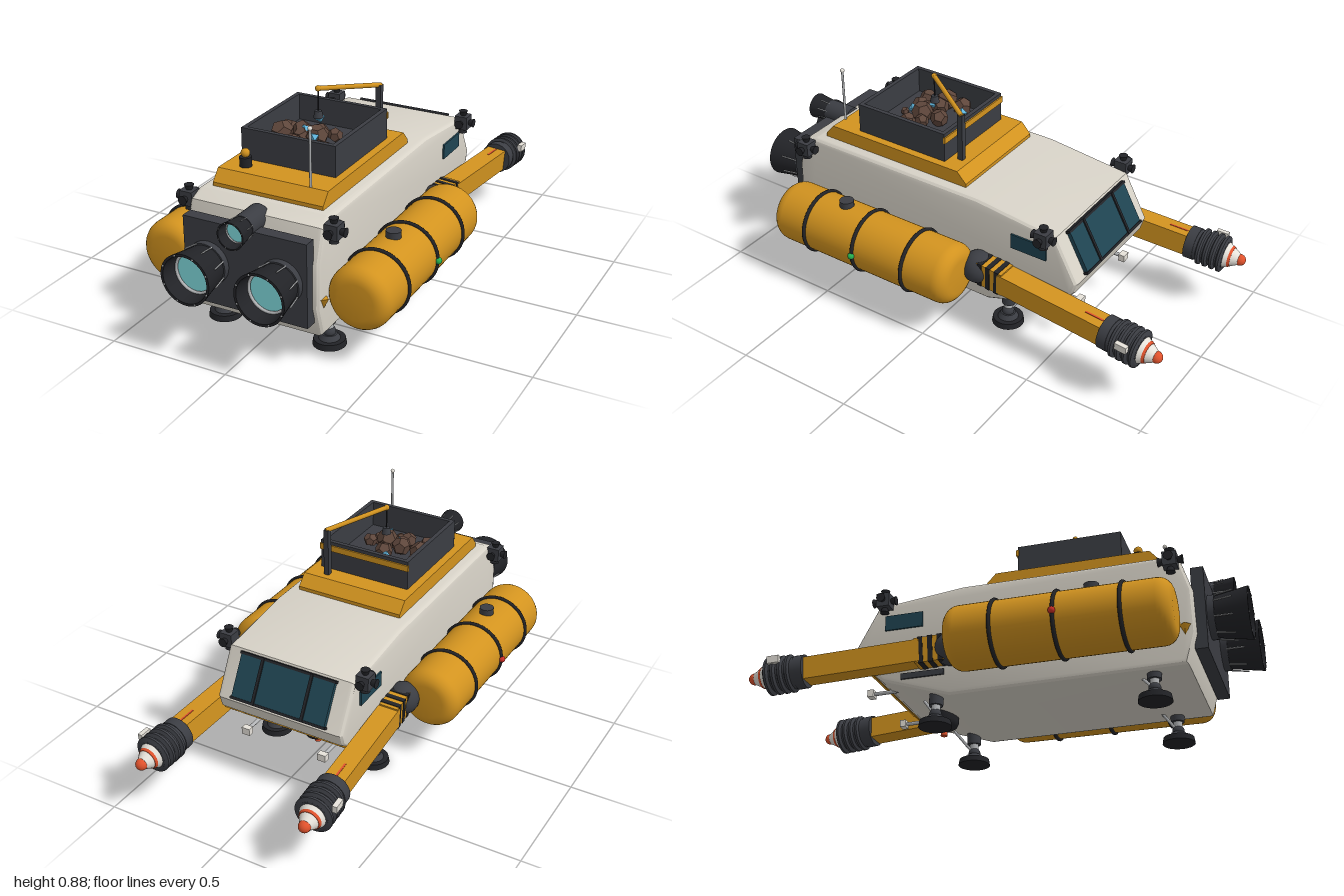
import * as THREE from 'three';
import { toCreasedNormals } from 'three/addons/utils/BufferGeometryUtils.js';

const mat = (color, opts = {}) => new THREE.MeshStandardMaterial({ color, ...opts });
const M = {
  hull: mat(0xd8d3c8), orange: mat(0xd2931f), dark: mat(0x3b3d43), black: mat(0x222327),
  teal: mat(0x1f4452), cyan: mat(0x80dadd), metal: mat(0xb4b6b8), white: mat(0xe6e2da),
  red: mat(0xe0522c), green: mat(0x25b050), lampRed: mat(0xd03028),
  rock: mat(0x5e463b, { flatShading: true }), crystal: mat(0x5fb4dc, { flatShading: true }),
};
const UP = new THREE.Vector3(0, 1, 0);
const v = (p) => new THREE.Vector3(...p);

function add(parent, name, geo, material, pos = [0, 0, 0], rot = [0, 0, 0]) {
  const m = new THREE.Mesh(geo, material);
  m.name = name;
  m.position.set(...pos);
  m.rotation.set(...rot);
  parent.add(m);
  return m;
}
const box = (x, y, z) => new THREE.BoxGeometry(x, y, z);
const cyl = (rTop, rBottom, h, n = 24) => new THREE.CylinderGeometry(rTop, rBottom, h, n);
const ball = (r) => new THREE.SphereGeometry(r, 20, 14);
const lathe = (pts, n = 40) =>
  toCreasedNormals(new THREE.LatheGeometry(pts.map(([r, y]) => new THREE.Vector2(r, y)), n), 0.6);

// Cylinder between two points
function rod(parent, name, a, b, r, material, n = 10) {
  const A = v(a), B = v(b), d = B.clone().sub(A);
  const m = add(parent, name, cyl(r, r, d.length(), n), material, A.clone().add(B).multiplyScalar(0.5).toArray());
  m.quaternion.setFromUnitVectors(UP, d.normalize());
}

// Side profile of [z, y] points extruded across x, with rounded edges
function sideExtrude(pts, width, bevel) {
  const shape = new THREE.Shape(pts.map(([z, y]) => new THREE.Vector2(z, y)));
  const geo = new THREE.ExtrudeGeometry(shape, {
    depth: width - 2 * bevel, bevelEnabled: bevel > 0, bevelSize: bevel, bevelThickness: bevel,
    bevelOffset: -bevel, bevelSegments: 3,
  });
  geo.rotateY(-Math.PI / 2).translate(width / 2 - bevel, 0, 0);
  return toCreasedNormals(geo, 0.45);
}

function engine(parent, x, y, z0, z1, r) {
  const g = new THREE.Group();
  g.name = 'engine';
  g.position.set(x, y, z0);
  parent.add(g);
  const L = z1 - z0, flat = [Math.PI / 2, 0, 0];
  add(g, 'engineCollar', cyl(r * 0.84, r * 0.84, L * 0.22, 32), M.dark, [0, 0, L * 0.1], flat);
  add(g, 'engineBell', lathe([[r * 0.74, 0], [r * 0.78, L * 0.2], [r, L], [r * 0.9, L], [r * 0.78, L * 0.5]]),
    M.black, [0, 0, 0], flat);
  add(g, 'engineGlow', new THREE.CircleGeometry(r * 0.78, 40), M.cyan, [0, 0, L * 0.55]);
  add(g, 'engineRing', new THREE.TorusGeometry(r * 0.78, r * 0.06, 8, 40), M.metal, [0, 0, L * 0.6]);
  for (let i = 0; i < 8; i++) {
    const a = (i + 0.5) * Math.PI / 4, c = Math.cos(a), s = Math.sin(a);
    rod(g, 'engineRod', [c * r * 0.83, s * r * 0.83, L * 0.2], [c * r * 0.94, s * r * 0.94, L * 0.62], r * 0.03, M.metal, 6);
    add(g, 'engineBolt', ball(r * 0.035), M.metal, [c * r * 0.95, s * r * 0.95, L]);
  }
}

function tank(parent, s) {
  const g = new THREE.Group();
  g.name = 'sideTank';
  g.position.set(s * 0.405, 0.28, 0);
  parent.add(g);
  const profile = [[0, -0.125]], R = 0.128, c = 0.055;
  for (let i = 0; i <= 6; i++) {
    const a = i * Math.PI / 12;
    profile.push([R - c + c * Math.sin(a), -0.125 + c - c * Math.cos(a)]);
  }
  for (let i = 0; i <= 6; i++) {
    const a = i * Math.PI / 12;
    profile.push([R - c + c * Math.cos(a), 0.755 - c + c * Math.sin(a)]);
  }
  profile.push([0, 0.755]);
  add(g, 'tankBody', lathe(profile, 48), M.orange, [0, 0, 0], [Math.PI / 2, 0, 0]);
  for (const z of [0.075, 0.32, 0.572]) add(g, 'tankBand', new THREE.TorusGeometry(0.13, 0.008, 8, 48), M.black, [0, 0, z]);
  add(g, 'tankCap', cyl(0.03, 0.03, 0.035), M.dark, [0, 0.135, 0.44]);
  add(g, 'tankLamp', ball(0.014), s > 0 ? M.green : M.lampRed, [s * 0.134, 0, 0.32]);
  add(g, 'tankBracket', box(0.08, 0.06, 0.1), M.dark, [-s * 0.13, 0, 0.5]);
  add(g, 'tankBracket', box(0.08, 0.06, 0.1), M.dark, [-s * 0.13, 0, 0.12]);
  add(g, 'tankGusset', new THREE.ConeGeometry(0.025, 0.05, 4), M.orange, [-s * 0.125, -0.03, 0.765], [Math.PI, 0, 0]);
}

// Rear arm, built along its own +y from the shoulder to the tip
function arm(parent, s) {
  const a = v([s * 0.315, 0.287, -0.15]), b = v([s * 0.362, 0.243, -0.998]);
  const g = new THREE.Group();
  g.name = 'rearArm';
  g.position.copy(a);
  g.quaternion.setFromUnitVectors(UP, b.clone().sub(a).normalize());
  parent.add(g);
  add(g, 'armShoulder', ball(0.068), M.dark);
  add(g, 'armSleeve', box(0.078, 0.13, 0.105), M.orange, [0, 0.075, 0]);
  for (const y of [0.035, 0.075, 0.115]) add(g, 'armStripe', box(0.082, 0.02, 0.11), M.black, [0, y, 0]);
  add(g, 'armBeam', box(0.084, 0.5, 0.092), M.orange, [0, 0.37, 0]);
  add(g, 'armMark', box(0.008, 0.08, 0.004), M.red, [0, 0.55, 0.046]);
  add(g, 'headBody', cyl(0.062, 0.066, 0.165, 32), M.dark, [0, 0.685, 0]);
  for (let i = 0; i < 4; i++) add(g, 'headRib', lathe([[0.06, -0.013], [0.077, -0.005], [0.077, 0.005], [0.06, 0.013]], 32), M.dark, [0, 0.665 + i * 0.03, 0]);
  add(g, 'headBase', cyl(0.068, 0.068, 0.04, 32), M.dark, [0, 0.622, 0]);
  add(g, 'headCone', cyl(0.024, 0.054, 0.055, 32), M.white, [0, 0.795, 0]);
  add(g, 'headStripe', cyl(0.041, 0.046, 0.01, 32), M.red, [0, 0.79, 0]);
  add(g, 'headTip', ball(0.024), M.red, [0, 0.826, 0]);
  add(g, 'headSensor', box(0.02, 0.05, 0.03), M.white, [s * 0.073, 0.715, 0.04]);
}

function leg(parent, s, z) {
  const g = new THREE.Group();
  g.name = 'landingLeg';
  g.position.set(s * 0.233, 0, z);
  parent.add(g);
  add(g, 'foot', cyl(0.062, 0.066, 0.024, 32), M.black, [0, 0.012, 0]);
  add(g, 'footPlate', cyl(0.03, 0.042, 0.02), M.dark, [0, 0.034, 0]);
  add(g, 'ankle', ball(0.025), M.dark, [0, 0.052, 0]);
  rod(g, 'legPiston', [0, 0.05, 0], [-s * 0.004, 0.11, 0], 0.018, M.metal, 16);
  rod(g, 'legSocket', [-s * 0.004, 0.09, 0], [-s * 0.006, 0.16, 0], 0.028, M.dark, 20);
  rod(g, 'legBrace', [0, 0.05, 0], [-s * 0.06, 0.14, -0.07], 0.006, M.metal);
}

function thruster(parent, s, z) {
  const g = new THREE.Group();
  g.name = 'thrusterBlock';
  g.position.set(s * 0.307, 0.538, z);
  parent.add(g);
  add(g, 'thrusterBody', box(0.055, 0.058, 0.055), M.dark);
  for (const d of [[s, 0, 0], [0, 1, 0], [0, -1, 0], [0, 0, 1], [0, 0, -1]]) {
    const m = add(g, 'thrusterNozzle', cyl(0.019, 0.01, 0.024, 16), M.black, d.map((k) => k * 0.037));
    m.quaternion.setFromUnitVectors(UP, v(d));
  }
}

export function createModel() {
  const root = new THREE.Group();
  root.name = 'utilityShip';

  // Hull and windows
  add(root, 'hull', sideExtrude([[0.77, 0.115], [0.805, 0.24], [0.8, 0.42], [0.76, 0.55], [0.7, 0.575], [-0.12, 0.575],
    [-0.48, 0.535], [-0.58, 0.35], [-0.565, 0.3], [-0.45, 0.2], [-0.17, 0.108]], 0.568, 0.022), M.hull);
  add(root, 'noseStripe', box(0.55, 0.012, 0.075), M.orange, [0, 0.258, -0.513], [0.72, 0, 0]);
  add(root, 'rearWindow', box(0.42, 0.18, 0.02), M.teal, [0, 0.447, -0.536], [0.507, 0, 0]);
  for (const x of [-0.11, 0.11]) add(root, 'windowBar', box(0.012, 0.184, 0.03), M.black, [x, 0.447, -0.537], [0.507, 0, 0]);
  for (const y of [-1, 1]) add(root, 'windowFrame', box(0.43, 0.01, 0.026), M.black, [0, 0.447 + y * 0.079, -0.536 + y * 0.044], [0.507, 0, 0]);

  // Engines on the front plate
  add(root, 'enginePlate', box(0.52, 0.34, 0.05), M.dark, [0, 0.35, 0.818]);
  for (const s of [-1, 1]) engine(root, s * 0.155, 0.35, 0.835, 1.0, 0.104);
  add(root, 'engineMount', cyl(0.047, 0.047, 0.12), M.dark, [0, 0.53, 0.79], [Math.PI / 2, 0, 0]);
  engine(root, 0, 0.53, 0.82, 0.93, 0.055);

  // Deck and cargo bin
  add(root, 'deck', sideExtrude([[0.674, 0.57], [0.674, 0.59], [0.635, 0.635], [0.005, 0.635], [-0.037, 0.59], [-0.037, 0.57]], 0.47, 0), M.orange);
  const bin = new THREE.Group();
  bin.name = 'cargoBin';
  bin.position.set(0, 0.697, 0.303);
  root.add(bin);
  add(bin, 'binFloor', box(0.4, 0.02, 0.42), M.dark, [0, -0.055, 0]);
  for (const s of [-1, 1]) {
    add(bin, 'binSide', box(0.018, 0.126, 0.43), M.dark, [s * 0.193, 0, 0]);
    add(bin, 'binEnd', box(0.4, 0.126, 0.018), M.dark, [0, 0, s * 0.206]);
  }
  add(bin, 'binStripe', box(0.41, 0.026, 0.01), M.orange, [0, 0.035, -0.216]);
  const rocks = [[-0.15, 0.25, 0.042], [-0.14, 0.32, 0.048], [-0.06, 0.3, 0.04], [-0.13, 0.41, 0.04], [-0.05, 0.39, 0.036],
    [0.02, 0.33, 0.046], [0.07, 0.37, 0.036], [0, 0.26, 0.038], [0.08, 0.29, 0.03], [0.01, 0.43, 0.018], [-0.04, 0.34, 0.04]];
  rocks.forEach(([x, z, r], i) => add(bin, 'rock', new THREE.DodecahedronGeometry(r), M.rock, [x, -0.03 + (i % 3) * 0.016, z - 0.303], [i, i * 2, i * 0.7]));
  for (const [x, z] of [[-0.05, 0.18], [-0.04, 0.315], [0.03, 0.37]]) add(bin, 'crystal', new THREE.OctahedronGeometry(0.022), M.crystal, [x, 0.012, z - 0.303], [0.4, x * 20, 0.3]);

  // Crane
  add(root, 'cranePost', box(0.022, 0.205, 0.024), M.dark, [0.146, 0.735, 0.045]);
  rod(root, 'craneArm', [0.15, 0.835, 0.04], [0, 0.873, 0.28], 0.01, M.orange, 12);
  add(root, 'craneTip', ball(0.012), M.orange, [0, 0.873, 0.28]);
  rod(root, 'craneCable', [0, 0.873, 0.28], [0, 0.77, 0.28], 0.003, M.black, 6);
  add(root, 'craneGrab', cyl(0.014, 0.02, 0.028, 12), M.dark, [0, 0.768, 0.28]);

  // Beacon and antenna
  add(root, 'beaconBase', cyl(0.024, 0.024, 0.04), M.black, [-0.15, 0.653, 0.575]);
  add(root, 'beacon', ball(0.018), M.orange, [-0.15, 0.688, 0.575]);
  rod(root, 'antenna', [0.16, 0.63, 0.63], [0.16, 0.86, 0.63], 0.005, M.metal);
  add(root, 'antennaTip', ball(0.009), M.white, [0.16, 0.864, 0.63]);

  // Belly sensor
  add(root, 'bellyDome', lathe([[0, -0.035], [0.03, -0.032], [0.052, -0.018], [0.06, 0], [0.06, 0.05]]), M.black, [0, 0.11, -0.29]);
  add(root, 'bellyLamp', cyl(0.014, 0.014, 0.03, 16), M.red, [0, 0.068, -0.29]);

  // Mirrored parts
  for (const s of [-1, 1]) {
    tank(root, s);
    arm(root, s);
    for (const z of [0.63, -0.24]) leg(root, s, z);
    for (const z of [0.727, -0.443]) thruster(root, s, z);
    add(root, 'sideWindow', box(0.012, 0.064, 0.16), M.teal, [s * 0.285, 0.45, -0.365]);
    add(root, 'probeHousing', box(0.03, 0.03, 0.18), M.dark, [s * 0.175, 0.205, -0.28]);
    add(root, 'sideRail', box(0.012, 0.024, 0.18), M.dark, [s * 0.285, 0.208, -0.28]);
    rod(root, 'probeRod', [s * 0.175, 0.2, -0.36], [s * 0.175, 0.197, -0.53], 0.008, M.metal);
    add(root, 'probeHead', box(0.036, 0.03, 0.026), M.white, [s * 0.175, 0.197, -0.54]);
  }
  return root;
}
